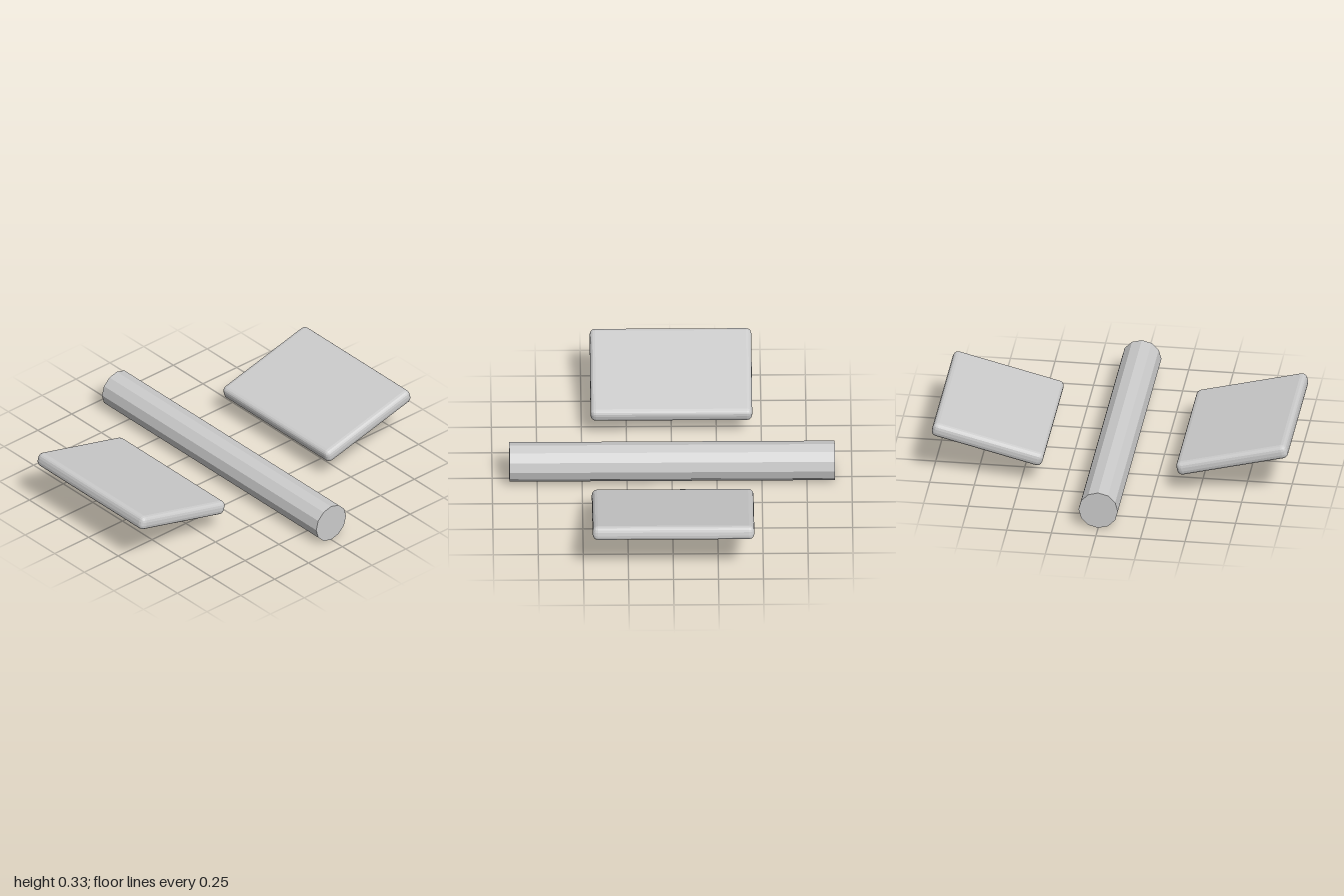
import * as THREE from 'three';
import { RoundedBoxGeometry } from 'three/addons/geometries/RoundedBoxGeometry.js';

export function createModel() {
  const model = new THREE.Group();
  const grey = new THREE.MeshStandardMaterial({ color: 0xcccccc });
  grey.name = 'light grey';
  grey.flatShading = true;

  // Twelve-sided central body lying along z, with an edge along its top
  const radius = 0.11;
  const bodyGeometry = new THREE.CylinderGeometry(radius, radius, 1.81, 12);
  bodyGeometry.rotateX(Math.PI / 2);
  const body = new THREE.Mesh(bodyGeometry, grey);
  body.name = 'body';
  body.position.y = radius;
  model.add(body);

  // Rounded side panels, tilted up towards their outer edges
  const panelGeometry = new RoundedBoxGeometry(0.64, 0.08, 0.9, 2, 0.03);
  for (const side of [1, -1]) {
    const panel = new THREE.Mesh(panelGeometry, grey);
    panel.name = side > 0 ? 'leftPanel' : 'rightPanel';
    panel.position.set(side * 0.686, 0.223, 0);
    panel.rotation.z = side * 0.25;
    model.add(panel);
  }
  return model;
}
